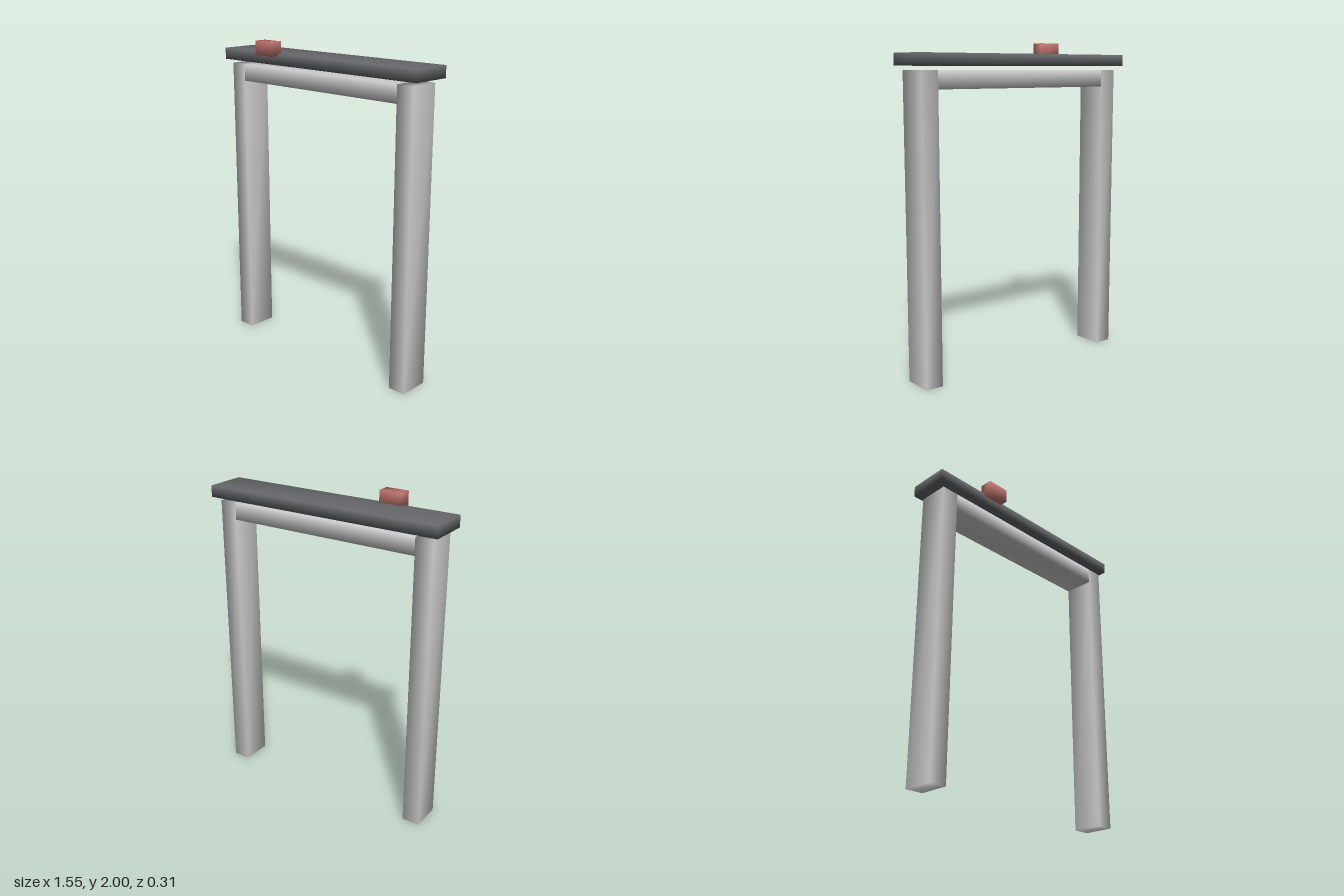
import * as THREE from 'three';
import { mergeVertices } from 'three/addons/utils/BufferGeometryUtils.js';

const grey = new THREE.MeshStandardMaterial({ color: 0xcccccc });
const slate = new THREE.MeshStandardMaterial({ color: 0x66676a });
const red = new THREE.MeshStandardMaterial({ color: 0xc0746e });

// Box given by its extents, with corners welded so the shading runs smoothly round them
function block(name, material, [x0, x1], [y0, y1], [z0, z1]) {
  const box = new THREE.BoxGeometry(x1 - x0, y1 - y0, z1 - z0);
  box.deleteAttribute('normal');
  box.deleteAttribute('uv');
  const geometry = mergeVertices(box);
  geometry.computeVertexNormals();
  const mesh = new THREE.Mesh(geometry, material);
  mesh.name = name;
  mesh.position.set((x0 + x1) / 2, (y0 + y1) / 2, (z0 + z1) / 2);
  return mesh;
}

export function createModel() {
  const model = new THREE.Group();
  model.name = 'mantelFrame';
  const depth = [-0.117, 0.075];

  // Two uprights
  model.add(block('rightLeg', grey, [-0.735, -0.623], [0, 1.833], depth));
  model.add(block('leftLeg', grey, [0.623, 0.735], [0, 1.833], depth));

  // Beam between the uprights, flush with them
  model.add(block('crossBeam', grey, [-0.623, 0.623], [1.727, 1.833], depth));

  // Shelf hovering just above the frame
  model.add(block('shelf', slate, [-0.775, 0.775], [1.857, 1.928], [-0.157, 0.103]));

  // Small block on the front edge of the shelf
  model.add(block('shelfBlock', red, [-0.425, -0.28], [1.913, 2], [0.076, 0.155]));

  return model;
}
